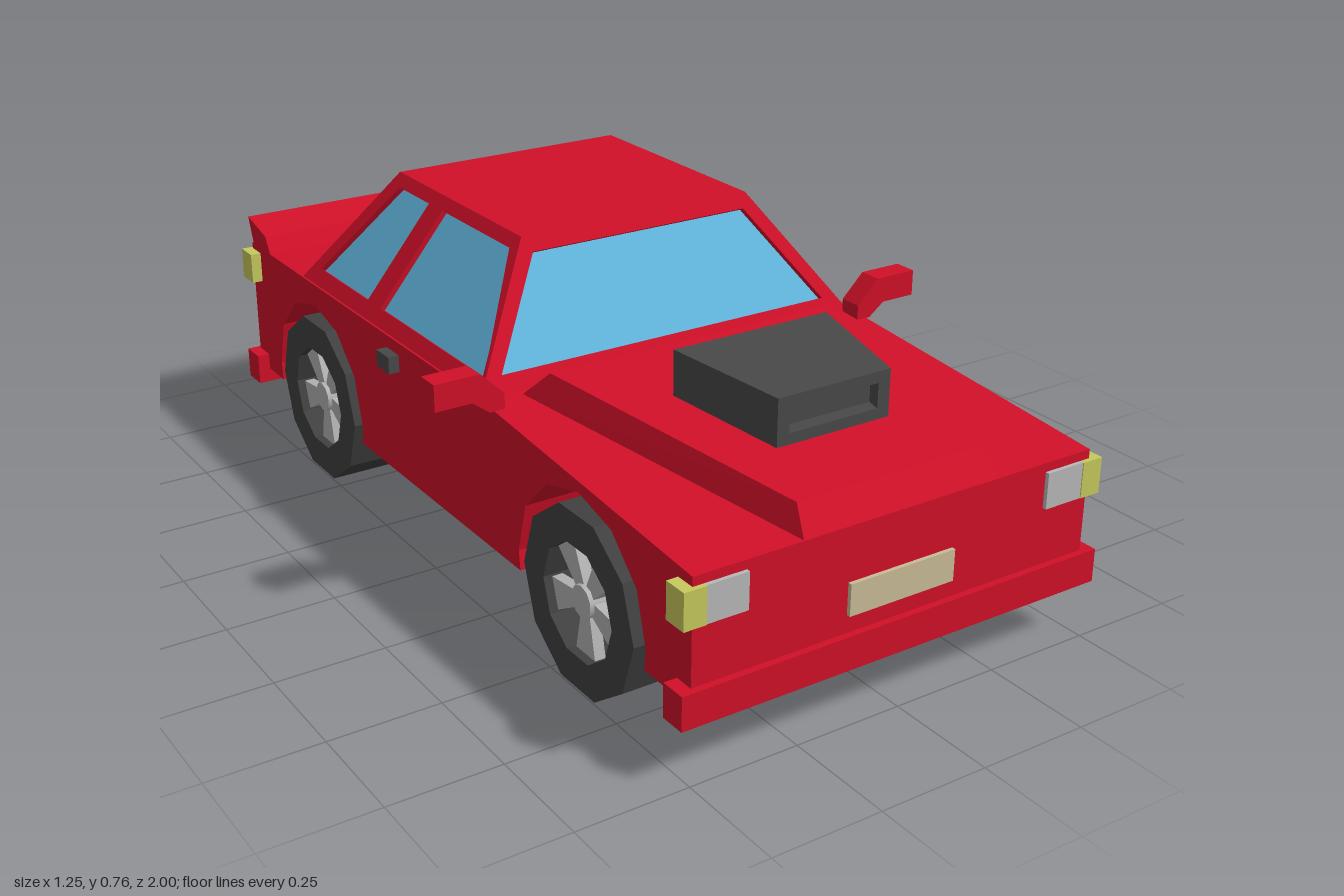
import * as THREE from 'three';
import { ConvexGeometry } from 'three/addons/geometries/ConvexGeometry.js';

const mat = (color, side = THREE.FrontSide) => new THREE.MeshStandardMaterial({ color, side });
const red = mat(0xd01028);
const tyreGrey = mat(0x404040);
const darkGrey = mat(0x484848);
const silver = mat(0xb4b4b4);
const amber = mat(0xc6c95c);
const lampGrey = mat(0xb8b8b8);
const plateBeige = mat(0xc8bb95);
const plateYellow = mat(0xc6c95c);
const glass = mat(0x62b6de, THREE.DoubleSide);

const V3 = (x, y, z) => new THREE.Vector3(x, y, z);
const shapeOf = (pts, holes = []) => {
  const s = new THREE.Shape(pts.map(p => new THREE.Vector2(...p)));
  for (const h of holes) s.holes.push(new THREE.Path(h.map(p => new THREE.Vector2(...p))));
  return s;
};
const extrude = (shape, depth) =>
  new THREE.ExtrudeGeometry(shape, { depth, bevelEnabled: false, curveSegments: 1 });

export function createModel() {
  const model = new THREE.Group();
  const add = (name, geo, material, parent = model) => {
    const m = new THREE.Mesh(geo, material);
    m.name = name;
    parent.add(m);
    return m;
  };
  // Box given by its limits on each axis
  const box = (name, [x0, x1], [y0, y1], [z0, z1], material, parent) => {
    const g = new THREE.BoxGeometry(x1 - x0, y1 - y0, z1 - z0);
    g.translate((x0 + x1) / 2, (y0 + y1) / 2, (z0 + z1) / 2);
    return add(name, g, material, parent);
  };
  // Side profile of [z, y] points, extruded from x0 to x1
  const sideProfile = (name, pts, x0, x1, material) => {
    const g = extrude(shapeOf(pts), x1 - x0);
    g.translate(0, 0, -x1);
    g.rotateY(-Math.PI / 2);
    return add(name, g, material);
  };

  // Lower body: full core plus side slabs with wheel arches
  const axles = [-0.61, 0.6];
  const outline = [[0.985, 0.16], [0.985, 0.43], [0.22, 0.49], [-0.985, 0.49], [-0.985, 0.16]];
  sideProfile('bodyCore', outline, -0.3, 0.3, red);
  const arches = [];
  for (const c of axles) {
    arches.push([c - 0.232, 0.16]);
    for (let k = 0; k <= 6; k++) {
      const a = Math.PI - k * Math.PI / 6;
      arches.push([c + 0.237 * Math.cos(a), 0.205 + 0.232 * Math.sin(a)]);
    }
    arches.push([c + 0.232, 0.16]);
  }
  sideProfile('bodySideLeft', [...outline, ...arches], 0.3, 0.49, red);
  sideProfile('bodySideRight', [...outline, ...arches], -0.49, -0.3, red);
  sideProfile('rearSpoiler', [[-0.865, 0.48], [-0.895, 0.53], [-1, 0.555], [-0.972, 0.48]], -0.49, 0.49, red);

  // Raised bonnet
  const bonnet = [];
  for (const s of [-1, 1]) {
    bonnet.push(V3(s * 0.24, 0.43, 0.983), V3(s * 0.23, 0.49, 0.945),
      V3(s * 0.365, 0.547, 0.29), V3(s * 0.4, 0.488, 0.235));
  }
  add('bonnet', new ConvexGeometry(bonnet), red);

  // Bonnet scoop, widening and rising toward the back
  const scoop = extrude(shapeOf(
    [[-0.14, 0.48], [0.14, 0.48], [0.14, 0.61], [-0.14, 0.61]],
    [[[-0.11, 0.53], [0.11, 0.53], [0.11, 0.585], [-0.11, 0.585]]]), 0.275);
  const sp = scoop.attributes.position;
  for (let i = 0; i < sp.count; i++) {
    const t = 1 - sp.getZ(i) / 0.275;
    sp.setXYZ(i, sp.getX(i) * (1 + 0.39 * t), sp.getY(i) + 0.02 * t, sp.getZ(i) + 0.49);
  }
  scoop.computeVertexNormals();
  add('bonnetScoop', scoop, darkGrey);
  box('scoopInner', [-0.125, 0.125], [0.52, 0.6], [0.7, 0.735], darkGrey);

  // Cabin: four sloping frames with recessed glass, and a roof
  const baseY = 0.49, roofY = 0.765, rise = roofY - baseY;
  const framed = (name, U, slope, origin, outer, windows) => {
    const N = new THREE.Vector3().crossVectors(U, slope).normalize();
    const place = new THREE.Matrix4().makeBasis(U, slope, N).setPosition(origin);
    const local = pts => pts.map(([u, y]) => [u, y - baseY]);
    const fit = (g, depth) => {
      g.translate(0, 0, depth);
      g.applyMatrix4(place);
      g.computeVertexNormals();
      return g;
    };
    add(name + 'Frame', fit(extrude(shapeOf(local(outer), windows.map(local)), 0.02), -0.02), red);
    for (const w of windows)
      add(name + 'Glass', fit(new THREE.ShapeGeometry(shapeOf(local(w))), -0.013), glass);
  };
  const endOuter = [[-0.485, baseY], [0.485, baseY], [0.295, roofY], [-0.295, roofY]];
  const endWindow = [[-0.425, 0.522], [0.425, 0.522], [0.277, 0.733], [-0.277, 0.733]];
  framed('windscreen', V3(1, 0, 0), V3(0, 1, -0.15 / rise), V3(0, baseY, 0.21), endOuter, [endWindow]);
  framed('rearWindow', V3(-1, 0, 0), V3(0, 1, 0.17 / rise), V3(0, baseY, -0.68), endOuter, [endWindow]);
  const sideOuter = [[0.21, baseY], [0.06, roofY], [-0.51, roofY], [-0.68, baseY]];
  const sideWindows = [
    [[0.185, 0.522], [0.04, 0.738], [-0.265, 0.738], [-0.3, 0.522]],
    [[-0.365, 0.522], [-0.33, 0.738], [-0.478, 0.738], [-0.62, 0.522]]];
  for (const s of [-1, 1]) {
    const flip = pts => pts.map(([z, y]) => [-s * z, y]);
    framed(s > 0 ? 'leftWindow' : 'rightWindow', V3(0, 0, -s), V3(-s * 0.19 / rise, 1, 0),
      V3(s * 0.485, baseY, 0), flip(sideOuter), sideWindows.map(flip));
  }
  box('roof', [-0.295, 0.295], [roofY - 0.02, roofY], [-0.51, 0.06], red);

  // Bumpers and number plates
  box('frontBumper', [-0.52, 0.52], [0.125, 0.2], [0.94, 1], red);
  box('rearBumper', [-0.52, 0.52], [0.125, 0.2], [-0.985, -0.93], red);
  box('rearBumperFace', [-0.52, 0.52], [0.125, 0.2], [-0.995, -0.985], red);
  box('frontPlate', [-0.13, 0.13], [0.24, 0.31], [0.98, 0.994], plateBeige);
  box('rearPlate', [-0.13, 0.13], [0.24, 0.31], [-0.994, -0.98], plateYellow);

  // Lamps, door handles and mirrors on both sides
  const span = (s, a, b) => (s > 0 ? [a, b] : [-b, -a]);
  for (const s of [-1, 1]) {
    const side = s > 0 ? 'Left' : 'Right';
    box('headlamp' + side, span(s, 0.37, 0.465), [0.33, 0.41], [0.94, 0.994], lampGrey);
    box('frontIndicator' + side, span(s, 0.465, 0.516), [0.33, 0.41], [0.94, 0.996], amber);
    box('tailLamp' + side, span(s, 0.37, 0.465), [0.4, 0.475], [-0.992, -0.935], lampGrey);
    box('rearIndicator' + side, span(s, 0.465, 0.516), [0.4, 0.475], [-0.994, -0.935], amber);
    box('doorHandle' + side, span(s, 0.48, 0.516), [0.42, 0.46], [-0.22, -0.16], darkGrey);
    const arm = [[0.465, 0.52], [0.52, 0.575], [0.626, 0.575], [0.626, 0.515], [0.54, 0.515], [0.5, 0.485], [0.465, 0.485]];
    const g = extrude(shapeOf(arm.map(([x, y]) => [s * x, y])), 0.055);
    g.translate(0, 0, 0.22);
    add('mirror' + side, g, red);
    box('mirrorGlass' + side, span(s, 0.545, 0.615), [0.525, 0.565], [0.217, 0.223], glass);
  }

  // Wheels: ten-sided tyre ring, five flared spokes and a hub
  const ring = r => Array.from({ length: 10 }, (_, k) =>
    [r * Math.cos(k * Math.PI / 5), r * Math.sin(k * Math.PI / 5)]);
  const tyreGeo = extrude(shapeOf(ring(0.205), [ring(0.128)]), 0.17);
  const spokeGeo = extrude(shapeOf([[-0.014, 0.02], [0.014, 0.02], [0.036, 0.126], [-0.036, 0.126]]), 0.025);
  const hubGeo = new THREE.CylinderGeometry(0.036, 0.036, 0.05, 10).rotateX(Math.PI / 2);
  for (const s of [-1, 1]) for (const z of axles) {
    const wheel = new THREE.Group();
    wheel.name = (z > 0 ? 'front' : 'rear') + 'Wheel' + (s > 0 ? 'Left' : 'Right');
    add('tyre', tyreGeo, tyreGrey, wheel);
    for (let k = 0; k < 5; k++) {
      const spoke = add('spoke', spokeGeo, silver, wheel);
      spoke.position.z = 0.125;
      spoke.rotation.z = Math.PI + k * Math.PI * 2 / 5;
    }
    add('hub', hubGeo, silver, wheel).position.z = 0.135;
    wheel.position.set(s * 0.326, 0.195, z);
    wheel.rotation.y = s * Math.PI / 2;
    model.add(wheel);
  }
  return model;
}
